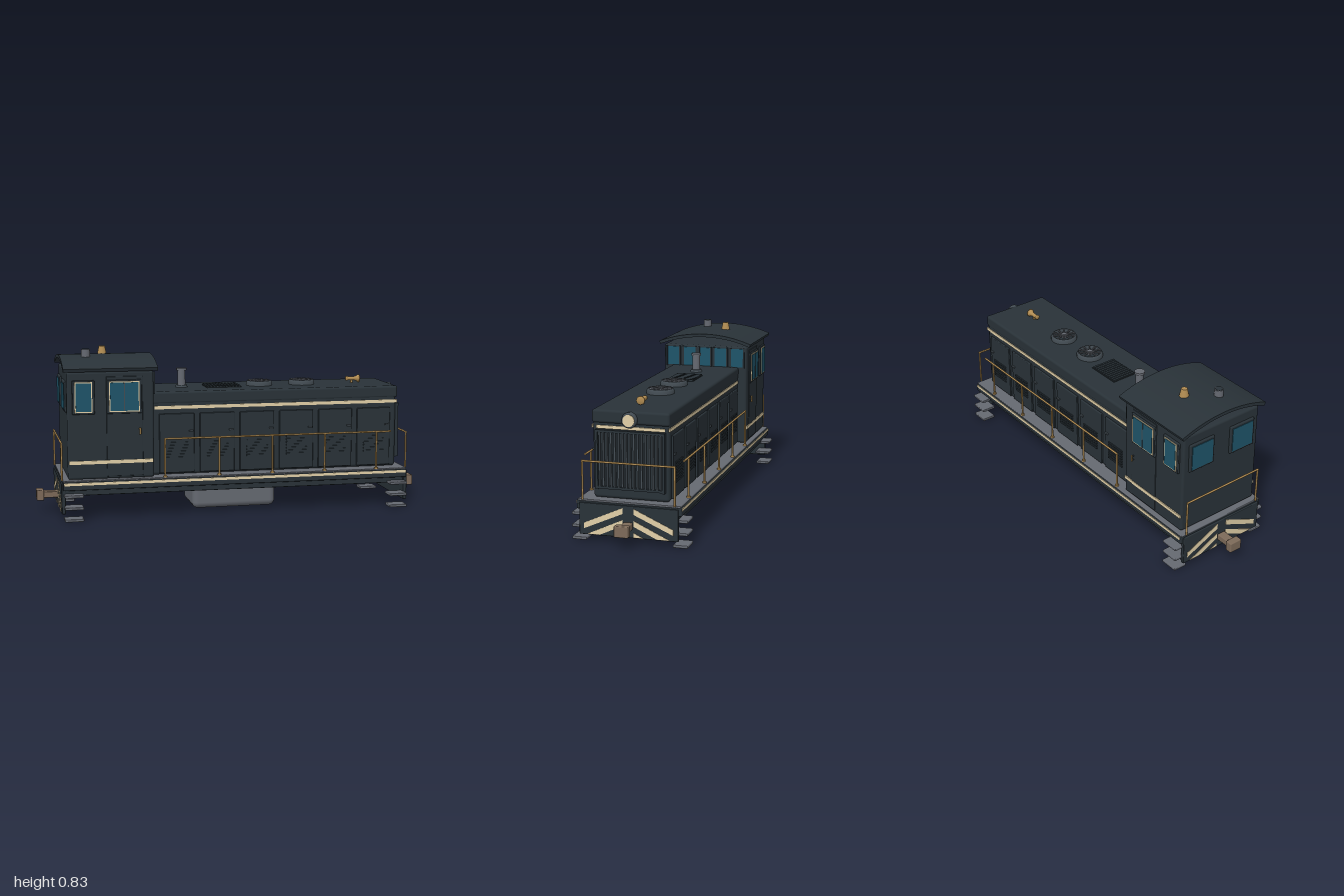
import * as THREE from 'three';
import { RoundedBoxGeometry } from 'three/addons/geometries/RoundedBoxGeometry.js';

const material = (name, color) => {
  const m = new THREE.MeshStandardMaterial({ color });
  m.name = name;
  return m;
};

export function createModel() {
  const slate = material('slate body', 0x293238);
  const iron = material('iron trim', 0x434c53);
  const black = material('dark recess', 0x20272b);
  const grey = material('grey metal', 0x656971);
  const cream = material('cream paint', 0xe2d0a8);
  const brass = material('brass', 0xb18c52);
  const glass = material('blue glass', 0x1f5469);
  const brown = material('brown coupler', 0x7d6a59);

  const model = new THREE.Group();
  model.name = 'switcherLocomotive';

  const add = (name, geometry, mat, x = 0, y = 0, z = 0) => {
    const mesh = new THREE.Mesh(geometry, mat);
    mesh.name = name;
    mesh.position.set(x, y, z);
    model.add(mesh);
    return mesh;
  };
  // Box given by its limits; r rounds the edges
  const box = (name, mat, x0, x1, y0, y1, z0, z1, r = 0) => {
    const s = [x1 - x0, y1 - y0, z1 - z0];
    const g = r ? new RoundedBoxGeometry(...s, 3, r) : new THREE.BoxGeometry(...s);
    return add(name, g, mat, (x0 + x1) / 2, (y0 + y1) / 2, (z0 + z1) / 2);
  };
  // Box standing out from both long sides, between depths d0 and d1
  const sides = (name, mat, x0, x1, y0, y1, d0, d1, r = 0) => {
    box(name, mat, x0, x1, y0, y1, d0, d1, r);
    box(name, mat, x0, x1, y0, y1, -d1, -d0, r);
  };
  const cyl = (name, mat, x, y, z, rTop, rBottom, h, n = 24) =>
    add(name, new THREE.CylinderGeometry(rTop, rBottom, h, n), mat, x, y, z);
  // Turned part from [radius, height] points
  const lathe = (name, mat, points, x, y, z = 0) =>
    add(name, new THREE.LatheGeometry(points.map((p) => new THREE.Vector2(...p)), 32), mat, x, y, z);
  // Round bar between two points
  const bar = (name, mat, a, b, r = 0.005) => {
    const p = new THREE.Vector3(...a), q = new THREE.Vector3(...b);
    const m = add(name, new THREE.CylinderGeometry(r, r, p.distanceTo(q), 8), mat);
    m.position.copy(p).lerp(q, 0.5);
    m.quaternion.setFromUnitVectors(new THREE.Vector3(0, 1, 0), q.sub(p).normalize());
  };

  // Underframe and walkway
  box('frame', slate, -0.875, 0.875, 0.125, 0.17, -0.235, 0.235);
  box('underside', black, -0.87, 0.87, 0.122, 0.126, -0.225, 0.225);
  box('sill', slate, -0.885, 0.885, 0.153, 0.195, -0.255, 0.255, 0.005);
  box('walkway', grey, -0.885, 0.885, 0.192, 0.202, -0.25, 0.25, 0.004);
  sides('sillStripe', cream, -0.88, 0.88, 0.178, 0.191, 0.253, 0.258);
  box('fuelTank', grey, -0.218, 0.214, 0.01, 0.15, -0.14, 0.14, 0.03);

  // End plates with chevrons, couplers, steps and end rails
  const chevrons = [
    [[0.217, 0.09], [0.027, 0.175], [0.027, 0.147], [0.217, 0.063]],
    [[0.2, 0.038], [0.027, 0.118], [0.027, 0.09], [0.139, 0.038]],
    [[0.072, 0.038], [0.027, 0.06], [0.027, 0.038]],
  ];
  for (const s of [1, -1]) {
    const span = (name, mat, a, b, ...rest) =>
      box(name, mat, Math.min(s * a, s * b), Math.max(s * a, s * b), ...rest);
    span('endPlate', slate, 0.872, 0.892, 0.034, 0.186, -0.24, 0.24, 0.004);
    for (const pts of chevrons) for (const m of [1, -1]) {
      const shape = new THREE.Shape(pts.map(([z, y]) => new THREE.Vector2(m * z, y)));
      const g = new THREE.ExtrudeGeometry(shape, { depth: 0.003, bevelEnabled: false });
      add('chevron', g, cream, s * 0.891).rotation.y = s * Math.PI / 2;
    }
    span('couplerShank', brown, 0.885, 0.97, 0.076, 0.108, -0.022, 0.022, 0.004);
    span('couplerHead', brown, 0.963, 1, 0.065, 0.119, -0.034, 0.034, 0.005);
    for (const y of [0.009, 0.068, 0.128])
      for (const z of [1, -1]) {
        const inner = y < 0.02 ? 0.21 : 0.205;
        span('step', grey, 0.787, 0.88, y - 0.007, y + 0.007,
          z > 0 ? inner : -0.282, z > 0 ? 0.282 : -inner, 0.004);
      }
    for (const z of [0.223, -0.223]) bar('endRailPost', brass, [s * 0.888, 0.2, z], [s * 0.888, 0.385, z]);
    bar('endRail', brass, [s * 0.888, 0.385, -0.227], [s * 0.888, 0.385, 0.227]);
  }

  // Side handrails
  for (const z of [0.241, -0.241]) {
    for (let i = 0; i < 5; i++) {
      const x = -0.377 + i * 0.275;
      bar('railPost', brass, [x, 0.2, z], [x, 0.395, z]);
      cyl('railFoot', brass, x, 0.205, z, 0.01, 0.01, 0.008, 10);
    }
    bar('sideRail', brass, [-0.38, 0.394, z], [0.8, 0.394, z]);
  }

  // Engine hood
  box('hood', slate, -0.44, 0.845, 0.203, 0.612, -0.185, 0.185, 0.016);
  box('hoodRoof', slate, -0.44, 0.852, 0.56, 0.622, -0.187, 0.187, 0.012);
  sides('hoodStripe', cream, -0.42, 0.85, 0.535, 0.551, 0.182, 0.189);
  box('noseStripe', cream, 0.84, 0.851, 0.534, 0.549, -0.165, 0.165);

  // Hood doors with louvres and latches
  for (let i = 0; i < 6; i++) {
    const x = -0.397 + i * 0.206;
    sides('hoodDoor', slate, x, x + 0.178, 0.212, 0.512, 0.182, 0.194, 0.004);
    for (let k = 0; k < 7; k++) {
      const y = 0.285 + k * 0.015;
      sides('louvre', slate, x + 0.035, x + 0.145, y, y + 0.008, 0.19, 0.199);
    }
    sides('doorLatch', iron, x + 0.15, x + 0.172, 0.42, 0.428, 0.19, 0.202);
  }

  // Radiator grille
  box('grilleBack', slate, 0.84, 0.85, 0.26, 0.522, -0.16, 0.16);
  for (const z of [0.162, -0.162]) box('grilleFrame', slate, 0.84, 0.864, 0.248, 0.53, z - 0.006, z + 0.006);
  for (const y of [0.257, 0.524]) box('grilleFrame', slate, 0.84, 0.862, y - 0.006, y + 0.006, -0.16, 0.16);
  for (let i = 0; i < 17; i++) {
    const z = -0.148 + i * 0.0185;
    box('grilleBar', iron, 0.845, 0.86, 0.262, 0.52, z - 0.004, z + 0.004);
  }

  // Headlight
  const rim = [[0.036, 0], [0.037, 0.024], [0.035, 0.031], [0.031, 0.034], [0.028, 0.031], [0, 0.031]];
  lathe('headlightRim', iron, rim, 0.843, 0.583).rotation.z = -Math.PI / 2;
  cyl('headlightLens', cream, 0.875, 0.583, 0, 0.028, 0.028, 0.006, 32).rotation.z = -Math.PI / 2;

  // Exhaust stack
  cyl('stackBase', iron, -0.25, 0.627, 0, 0.028, 0.032, 0.014);
  cyl('stack', grey, -0.25, 0.668, 0, 0.02, 0.02, 0.09);
  cyl('stackRim', grey, -0.25, 0.714, 0, 0.026, 0.026, 0.012);

  // Roof louvres
  box('roofVent', black, -0.13, 0.05, 0.618, 0.625, -0.068, 0.068);
  for (let i = 0; i < 11; i++) {
    const x = -0.127 + i * 0.0162;
    box('roofSlat', slate, x, x + 0.011, 0.62, 0.631, -0.066, 0.066);
  }

  // Roof fans
  const ring = [[0.068, 0], [0.068, 0.022], [0.062, 0.032], [0.057, 0.032], [0.056, 0]];
  for (const x of [0.16, 0.387]) {
    lathe('fanRing', iron, ring, x, 0.615);
    cyl('fanWell', slate, x, 0.625, 0, 0.059, 0.059, 0.008, 32);
    cyl('fanHub', grey, x, 0.64, 0, 0.012, 0.012, 0.022, 16);
    for (let k = 0; k < 5; k++) {
      const spoke = add('fanSpoke', new THREE.BoxGeometry(0.122, 0.006, 0.005), grey, x, 0.646, 0);
      spoke.rotation.y = (k * Math.PI) / 5;
    }
  }

  // Horn on the hood
  const horn = [[0, 0], [0.012, 0], [0.012, 0.008], [0.009, 0.01], [0.01, 0.045], [0.014, 0.058],
    [0.02, 0.064], [0.02, 0.072], [0, 0.072]];
  lathe('horn', brass, horn, 0.63, 0.644).rotation.z = -Math.PI / 2;
  box('hornPost', brass, 0.655, 0.665, 0.62, 0.645, -0.006, 0.006);

  // Cab
  box('cab', slate, -0.858, -0.43, 0.203, 0.735, -0.232, 0.232, 0.012);
  sides('cabStripe', cream, -0.853, -0.435, 0.279, 0.296, 0.23, 0.2375);
  sides('cabDoor', slate, -0.665, -0.485, 0.215, 0.71, 0.228, 0.235, 0.003);
  sides('doorHandle', brass, -0.506, -0.496, 0.421, 0.456, 0.244, 0.251, 0.003);
  for (const y of [0.426, 0.448]) sides('handleMount', slate, -0.504, -0.498, y, y + 0.004, 0.232, 0.246);
  for (const [a, b] of [[-0.821, -0.735], [-0.652, -0.502]]) {
    sides('sideWindowFrame', slate, a - 0.012, b + 0.012, 0.527, 0.694, 0.228, 0.242, 0.004);
    sides('sideWindowTrim', cream, a, b, 0.536, 0.686, 0.237, 0.245);
    sides('sideWindow', glass, a + 0.005, b - 0.005, 0.541, 0.681, 0.238, 0.247);
  }
  sides('windowDivider', iron, -0.58, -0.575, 0.541, 0.681, 0.24, 0.249);

  // Cab front windows
  for (const [z, w] of [[-0.18, 0.066], [-0.087, 0.066], [0, 0.06], [0.087, 0.066], [0.18, 0.066]]) {
    const h = w / 2;
    box('frontWindow', glass, -0.435, -0.426, 0.623, 0.723, z - h, z + h);
    for (const e of [z - h - 0.004, z + h + 0.004])
      box('frontWindowFrame', slate, -0.436, -0.422, 0.618, 0.728, e - 0.004, e + 0.004);
  }

  // Cab rear windows
  for (const z of [0.125, -0.125]) {
    box('rearWindowFrame', slate, -0.868, -0.85, 0.535, 0.685, z - 0.075, z + 0.075, 0.006);
    box('rearWindow', glass, -0.871, -0.865, 0.547, 0.673, z - 0.063, z + 0.063);
  }

  // Arched cab roof swept along x
  const half = 0.257, rise = 0.048, R = (half * half + rise * rise) / (2 * rise);
  const angle = Math.asin(half / R), top = 0.8, thick = 0.017;
  const arch = new THREE.Shape();
  arch.absarc(0, top - R, R, Math.PI / 2 - angle, Math.PI / 2 + angle, false);
  arch.absarc(0, top - R, R - thick, Math.PI / 2 + angle, Math.PI / 2 - angle, true);
  add('cabRoof', new THREE.ExtrudeGeometry(arch, { depth: 0.465, bevelEnabled: false, curveSegments: 24 }),
    slate, -0.876).rotation.y = Math.PI / 2;

  // Roof vent pipe and bell
  cyl('roofPipe', grey, -0.747, 0.809, 0.073, 0.022, 0.022, 0.046);
  cyl('roofPipeCap', slate, -0.747, 0.832, 0.073, 0.018, 0.018, 0.003);
  cyl('bell', brass, -0.65, 0.808, -0.057, 0.015, 0.027, 0.056);
  cyl('bellRim', brass, -0.65, 0.779, -0.057, 0.029, 0.029, 0.01);

  return model;
}
